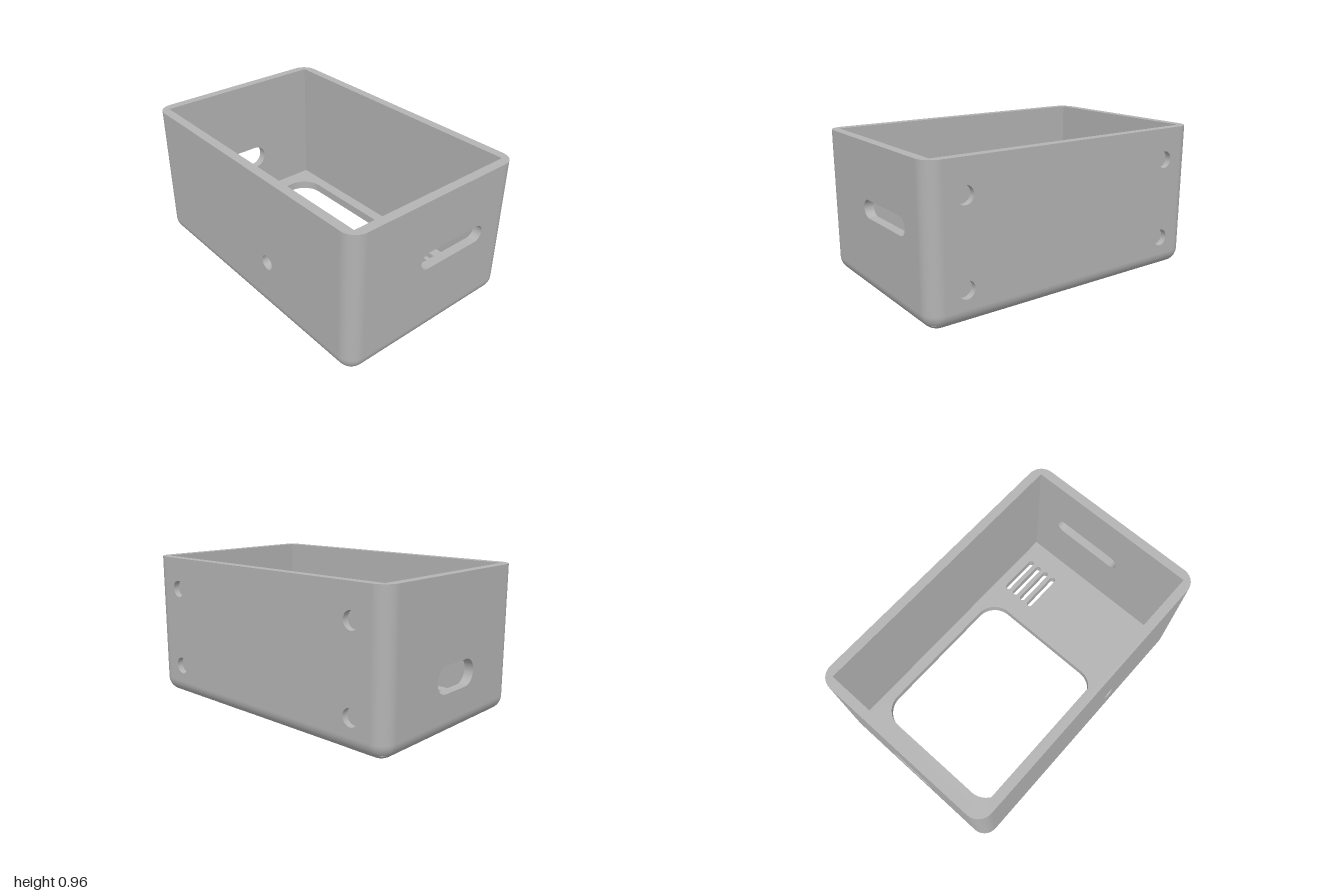
import * as THREE from 'three';
import { toCreasedNormals } from 'three/addons/utils/BufferGeometryUtils.js';

const HX = 1, HZ = 0.645, H = 0.955, WALL = 0.06, R = 0.1; // outer half sizes, wall, fillet
const FLOOR = 0.06, GROOVE = 0.035;                        // floor thickness, groove depth
const SPLIT = 0.46;                                        // x where the vented floor begins
const WIN = { x: -0.2425, hx: 0.5875, hz: 0.5075, r: 0.15 };

// rounded rectangle, as a Shape or a hole Path
function rounded(cx, cy, hx, hy, r, Type = THREE.Path) {
  const p = new Type();
  if (r === 0) {
    return p.moveTo(cx - hx, cy - hy).lineTo(cx + hx, cy - hy)
      .lineTo(cx + hx, cy + hy).lineTo(cx - hx, cy + hy).closePath();
  }
  const q = Math.PI / 2;
  p.absarc(cx + hx - r, cy + hy - r, r, 0, q);
  p.absarc(cx - hx + r, cy + hy - r, r, q, 2 * q);
  p.absarc(cx - hx + r, cy - hy + r, r, 2 * q, 3 * q);
  p.absarc(cx + hx - r, cy - hy + r, r, 3 * q, 4 * q);
  return p.closePath();
}
const circle = (x, y, r) => new THREE.Path().absarc(x, y, r, 0, Math.PI * 2);

function extrude(shape, depth, holes = []) {
  shape.holes.push(...holes);
  const g = new THREE.ExtrudeGeometry(shape, { depth, bevelEnabled: false, curveSegments: 16 });
  return toCreasedNormals(g, 0.6);
}

// distance past the flat bottom, per axis, and height of the rounded underside
const over = (v, h) => Math.sign(v) * Math.max(Math.abs(v) - (h - R), 0);
function underside(x, z) {
  const d = Math.hypot(over(x, HX), over(z, HZ));
  return R - Math.sqrt(Math.max(R * R - d * d, 0));
}

// surface through rows of [x, y, z] points
function grid(rows, filleted) {
  const n = rows[0].length, pos = rows.flat(), idx = [];
  for (let j = 0; j < rows.length - 1; j++) {
    for (let i = 0; i < n - 1; i++) {
      const a = j * n + i, b = a + 1, c = a + n, d = c + 1;
      idx.push(a, c, b, b, c, d);
    }
  }
  const g = new THREE.BufferGeometry();
  g.setAttribute('position', new THREE.Float32BufferAttribute(pos.flat(), 3));
  g.setIndex(idx);
  if (filleted) {
    const nor = pos.flatMap(([x, y, z]) =>
      new THREE.Vector3(over(x, HX), y - R, over(z, HZ)).normalize().toArray());
    g.setAttribute('normal', new THREE.Float32BufferAttribute(nor, 3));
  } else g.computeVertexNormals();
  return g;
}

// underside surface between two matching outlines of [x, z] points
function undersideBetween(inner, outer, steps = 18) {
  const rows = [];
  for (let k = 0; k <= steps; k++) {
    const t = Math.sin((k / steps) * Math.PI / 2);
    rows.push(inner.map(([x, z], i) => {
      const px = x + (outer[i][0] - x) * t, pz = z + (outer[i][1] - z) * t;
      return [px, underside(px, pz), pz];
    }));
  }
  return grid(rows, true);
}

// closed outline with separate radii on its -x and +x corners
function outline(x0, x1, hz, rL, rR) {
  const pts = [];
  const corners = [[x1 - rR, hz - rR, rR], [x0 + rL, hz - rL, rL],
    [x0 + rL, rL - hz, rL], [x1 - rR, rR - hz, rR]];
  const at = (k, a) => {
    const [x, z, r] = corners[k % 4];
    return [x + r * Math.cos(a), z + r * Math.sin(a)];
  };
  for (let k = 0; k < 4; k++) {
    for (let i = 0; i <= 16; i++) pts.push(at(k, (k + i / 16) * Math.PI / 2));
    const p = at(k, (k + 1) * Math.PI / 2), q = at(k + 1, (k + 1) * Math.PI / 2);
    for (let i = 1; i < 24; i++) {
      const t = 0.5 - 0.5 * Math.cos((i / 24) * Math.PI);
      pts.push([p[0] + (q[0] - p[0]) * t, p[1] + (q[1] - p[1]) * t]);
    }
  }
  pts.push(pts[0]);
  return pts;
}

export function createModel() {
  const group = new THREE.Group();
  const grey = new THREE.MeshStandardMaterial({ color: 0xb3b3b3 });
  grey.name = 'grey plastic';

  const add = (name, geo) => {
    const m = new THREE.Mesh(geo, grey);
    m.name = name;
    group.add(m);
    return m;
  };
  // upright wall layer, from `start` to `start + depth` out from the centre
  const wall = (name, half, start, depth, turn, holes) => {
    const g = extrude(rounded(0, (H + R) / 2, half, (H - R) / 2, 0, THREE.Shape), depth, holes);
    return add(name, g.translate(0, 0, start).rotateY(turn));
  };
  // level slab; its shape is drawn in x and -z
  const slab = (name, shape, y, depth, holes) =>
    add(name, extrude(shape, depth, holes).rotateX(-Math.PI / 2).translate(0, y, 0));

  // walls with their openings
  const fx = HX - R, fz = HZ - R;
  wall('frontWall', fx, HZ - WALL, WALL, 0, [circle(0.24, 0.37, 0.048)]);
  wall('leftWall', fz, HX - WALL, WALL, Math.PI / 2, [rounded(0.14, 0.547, 0.26, 0.057, 0.0569)]);
  wall('rightWall', fz, HX - WALL, WALL, -Math.PI / 2, [rounded(0.017, 0.35, 0.188, 0.085, 0.0849)]);
  const pockets = [];
  for (const x of [-0.765, 0.765]) for (const y of [0.215, 0.748]) pockets.push(circle(x, y, 0.055));
  wall('backWallOuter', fx, HZ - 0.04, 0.04, Math.PI, pockets);
  wall('backWallInner', fx, HZ - WALL, WALL - 0.04, Math.PI, []);

  // rounded corner columns
  [[1, -1], [-1, -1], [-1, 1], [1, 1]].forEach(([sx, sz], k) => {
    const c = R - WALL;
    const s = new THREE.Shape().moveTo(c, 0).lineTo(R, 0).absarc(0, 0, R, 0, Math.PI / 2)
      .lineTo(0, c).lineTo(c, c).closePath();
    const g = extrude(s, H - R).rotateX(-Math.PI / 2).rotateY(k * Math.PI / 2);
    add('cornerColumn', g.translate(sx * fx, R, sz * fz));
  });

  // inner foot of the walls
  slab('wallFoot', rounded(0, 0, 0.96, 0.605, 0, THREE.Shape), FLOOR, R - FLOOR,
    [rounded(0, 0, HX - WALL, HZ - WALL, 0)]);

  // floor: upper layer, then the vented lower layer
  const windowHole = () => rounded(WIN.x, 0, WIN.hx, WIN.hz, WIN.r);
  const vents = () => [0, 1, 2, 3].map((i) => rounded(0.637, 0.492 - i * 0.072, 0.152, 0.02, 0.0199));
  slab('floor', rounded(0, 0, 0.965, 0.61, 0.03, THREE.Shape), GROOVE, FLOOR - GROOVE,
    [windowHole(), ...vents()]);
  slab('ventPanel', rounded((SPLIT + fx) / 2, 0, (fx - SPLIT) / 2, fz, 0, THREE.Shape), 0, GROOVE,
    [...vents(), circle(0.64, 0.05, 0.05), circle(0.64, -0.32, 0.05)]);

  // lip around the window and the groove outside it
  const lip = 0.043, off = 0.095;
  slab('windowLip', rounded(WIN.x, 0, WIN.hx + lip, WIN.hz + lip, WIN.r + lip, THREE.Shape),
    0, GROOVE, [windowHole()]);
  const groove = outline(WIN.x - WIN.hx - off, WIN.x + WIN.hx + off, WIN.hz + off,
    WIN.r + off, WIN.r + off);
  add('grooveWall', grid([
    groove.map(([x, z]) => [x, GROOVE, z]),
    groove.map(([x, z]) => [x, underside(x, z), z]),
  ]));

  // rounded underside around the groove and around the vent panel
  add('windowUnderside', undersideBetween(groove, outline(-HX, SPLIT, HZ, R, 0)));
  const inner = [[SPLIT, -fz]], outer = [[SPLIT, -HZ]];
  for (const s of [-1, 1]) {
    for (let i = 0; i <= 16; i++) {
      const a = ((s < 0 ? -1 : 0) + i / 16) * Math.PI / 2;
      inner.push([fx, s * fz]);
      outer.push([fx + R * Math.cos(a), s * fz + R * Math.sin(a)]);
    }
  }
  inner.push([SPLIT, fz]);
  outer.push([SPLIT, HZ]);
  add('ventUnderside', undersideBetween(inner, outer));

  return group;
}
